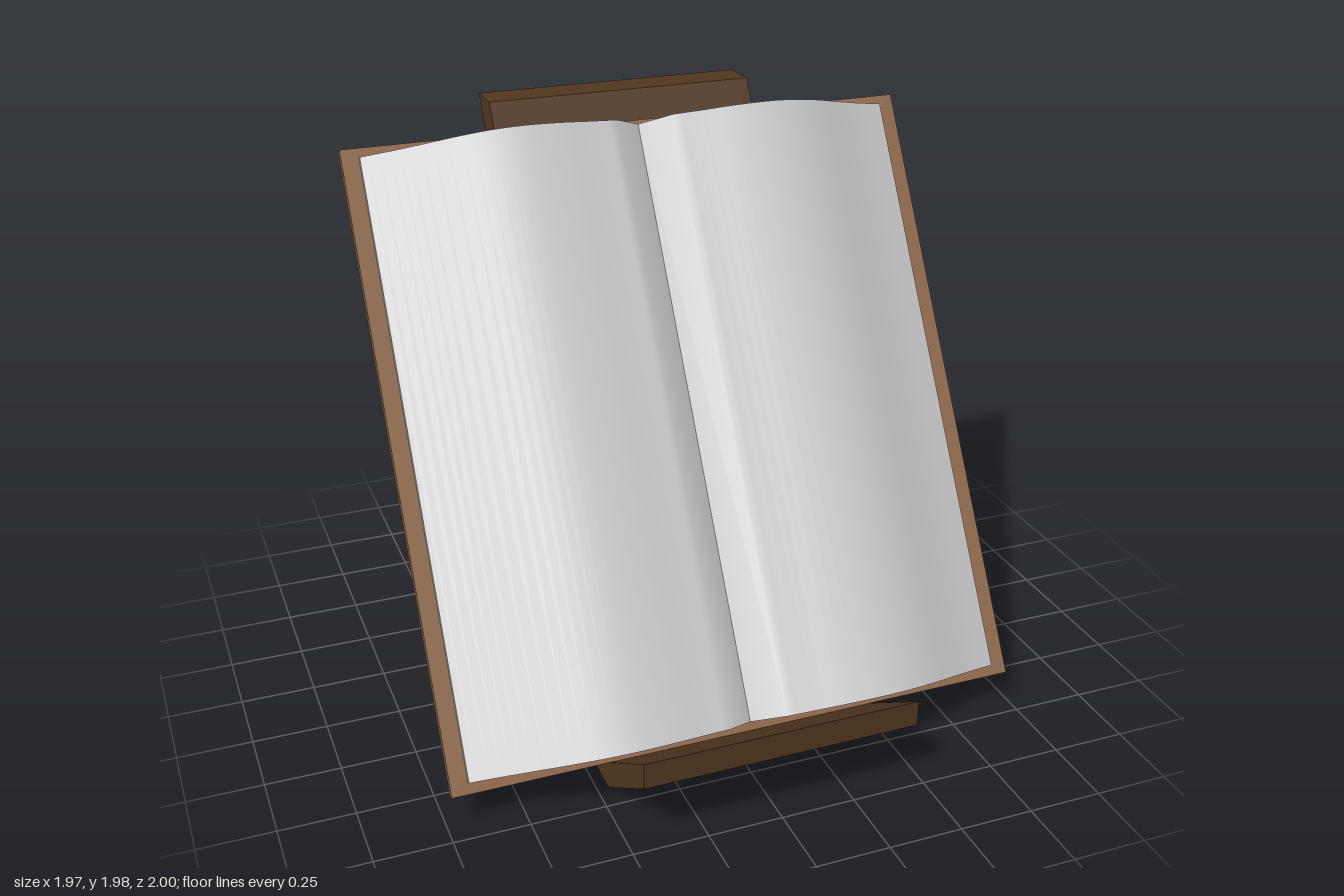
import * as THREE from 'three';
import { toCreasedNormals } from 'three/addons/utils/BufferGeometryUtils.js';

const toShape = (points) => new THREE.Shape(points.map(([x, y]) => new THREE.Vector2(x, y)));

function addMesh(parent, name, geometry, color) {
  const mesh = new THREE.Mesh(geometry, new THREE.MeshStandardMaterial({ color }));
  mesh.name = name;
  parent.add(mesh);
}

export function createModel() {
  const model = new THREE.Group();
  model.name = 'bookOnStand';

  // Stand: one side profile (z, y) with foot, leaning back rest and front lip
  const standWidth = 0.925;
  const profile = [
    [1, 0.325], [0.66, 0.1], [-0.46, 1.98], [-0.59, 1.98], [0.53, 0.095],
    [-1, 0.095], [-1, 0], [0.66, 0], [1, 0.235],
  ];
  const stand = new THREE.ExtrudeGeometry(toShape(profile), { depth: standWidth, bevelEnabled: false });
  stand.rotateY(-Math.PI / 2).translate(standWidth / 2, 0, 0);
  addMesh(model, 'stand', stand, 0x4f361d);

  // Open book, leaning on the rest: local y runs up the page, z out of it
  const book = new THREE.Group();
  book.name = 'openBook';
  book.position.set(0, 0.12, 0.69);
  book.rotation.x = -0.541;
  model.add(book);

  // Cover board
  const cover = new THREE.BoxGeometry(1.965, 2.07, 0.03).translate(0, 1.035, -0.015);
  addMesh(book, 'cover', cover, 0x8b6647);

  // Page block: curved swell of one half, mirrored about the gutter
  const swell = new THREE.SplineCurve([
    [0.1, 0.156], [0.2, 0.173], [0.3, 0.193], [0.42, 0.2025], [0.52, 0.19],
    [0.62, 0.155], [0.74, 0.095], [0.83, 0.053], [0.925, 0.016],
  ].map(([x, y]) => new THREE.Vector2(x, y)));
  const half = swell.getPoints(24).map((p) => [p.x, p.y]);
  const mirrored = half.map(([x, y]) => [-x, y]).reverse();
  const section = [[-0.925, 0], [0.925, 0], ...half.reverse(), [0, 0.074], ...mirrored.reverse()];
  const pages = new THREE.ExtrudeGeometry(toShape(section), { depth: 2, bevelEnabled: false });
  pages.rotateX(Math.PI / 2).translate(0, 2.036, 0);
  addMesh(book, 'pages', toCreasedNormals(pages, 0.65), 0xcccccc);

  return model;
}
